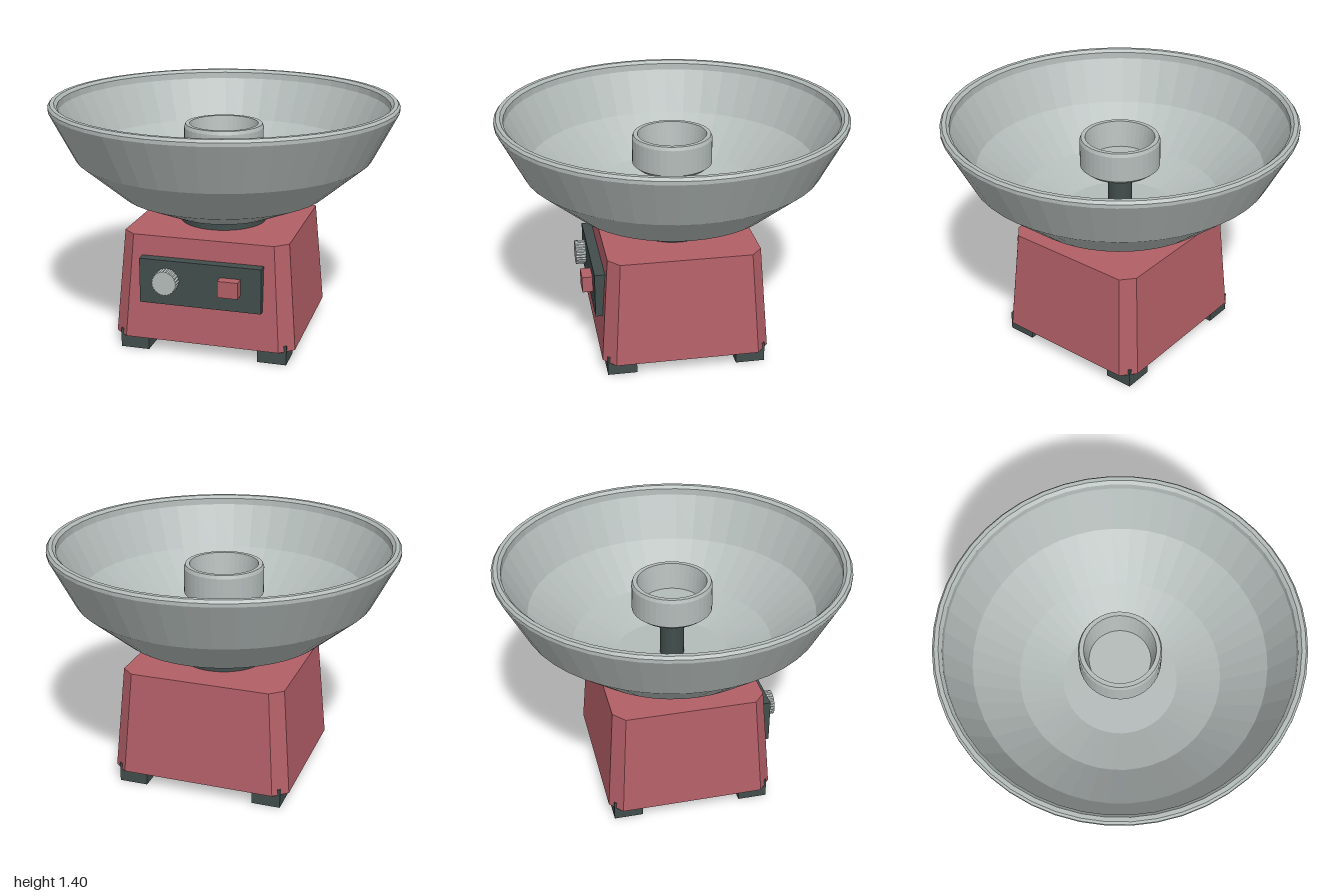
import * as THREE from 'three';

const material = (name, color) => {
  const m = new THREE.MeshStandardMaterial({ color, flatShading: true });
  m.name = name;
  return m;
};

export function createModel() {
  const steel = material('brushed steel', 0xb4bcba);
  const red = material('red enamel', 0xb35f67);
  const dark = material('dark plastic', 0x414d4c);

  const model = new THREE.Group();
  model.name = 'candyFlossMachine';

  const add = (name, geometry, mat, x = 0, y = 0, z = 0) => {
    const mesh = new THREE.Mesh(geometry, mat);
    mesh.name = name;
    mesh.position.set(x, y, z);
    model.add(mesh);
    return mesh;
  };
  const lathe = (profile, sides) =>
    new THREE.LatheGeometry(profile.map(([r, y]) => new THREE.Vector2(r, y)), sides);

  // Housing: chamfered rectangle, tapering towards the top
  const w = 0.53, d = 0.483, cx = 0.08, cz = 0.07, height = 0.61;
  const outline = new THREE.Shape([
    [w, -d + cz], [w, d - cz], [w - cx, d], [-w + cx, d],
    [-w, d - cz], [-w, -d + cz], [-w + cx, -d], [w - cx, -d],
  ].map(([x, y]) => new THREE.Vector2(x, y)));
  const housing = new THREE.ExtrudeGeometry(outline, { depth: height, bevelEnabled: false });
  housing.rotateX(-Math.PI / 2);
  const pos = housing.attributes.position;
  for (let i = 0; i < pos.count; i++) {
    const s = 1 - 0.096 * pos.getY(i) / height;
    pos.setX(i, pos.getX(i) * s);
    pos.setZ(i, pos.getZ(i) * s);
  }
  housing.computeVertexNormals();
  add('housing', housing, red, 0, 0.08, 0);

  // Feet: corners rise slightly through the chamfers
  for (const sx of [-1, 1]) for (const sz of [-1, 1]) {
    add('foot', new THREE.BoxGeometry(0.168, 0.114, 0.168), dark, sx * 0.406, 0.057, sz * 0.374);
  }

  // Control panel with knob and switch
  add('controlPanel', new THREE.BoxGeometry(0.705, 0.262, 0.1), dark, 0, 0.442, 0.455);
  const teeth = 24;
  const knobOutline = new THREE.Shape();
  for (let i = 0; i < teeth * 2; i++) {
    const a = i / teeth * Math.PI, r = i % 2 ? 0.067 : 0.072;
    knobOutline[i ? 'lineTo' : 'moveTo'](r * Math.cos(a), r * Math.sin(a));
  }
  add('knob', new THREE.ExtrudeGeometry(knobOutline, { depth: 0.07, bevelEnabled: false }),
    steel, -0.19, 0.458, 0.495);
  add('powerSwitch', new THREE.BoxGeometry(0.117, 0.095, 0.07), red, 0.177, 0.457, 0.53);

  // Collar between housing and bowl
  add('collar', new THREE.CylinderGeometry(0.25, 0.25, 0.09, 48), dark, 0, 0.725, 0);

  // Bowl: outside, rolled rim, then inside
  add('bowl', lathe([
    [0, 0.755], [0.345, 0.755], [0.6, 0.867], [0.857, 1.085], [1, 1.365],
    [1, 1.385], [0.988, 1.4], [0.965, 1.4], [0.948, 1.383], [0.945, 1.345],
    [0.82, 1.1], [0.575, 0.885], [0.33, 0.785], [0, 0.785],
  ], 48), steel);

  // Drive shaft and open spinner head
  add('driveShaft', new THREE.CylinderGeometry(0.07, 0.07, 0.31, 24), dark, 0, 0.93, 0);
  add('spinnerHead', lathe([
    [0, 1.065], [0.2, 1.065], [0.23, 1.09], [0.23, 1.24], [0.222, 1.26],
    [0.198, 1.26], [0.172, 1.11], [0, 1.11],
  ], 40), steel);

  return model;
}
